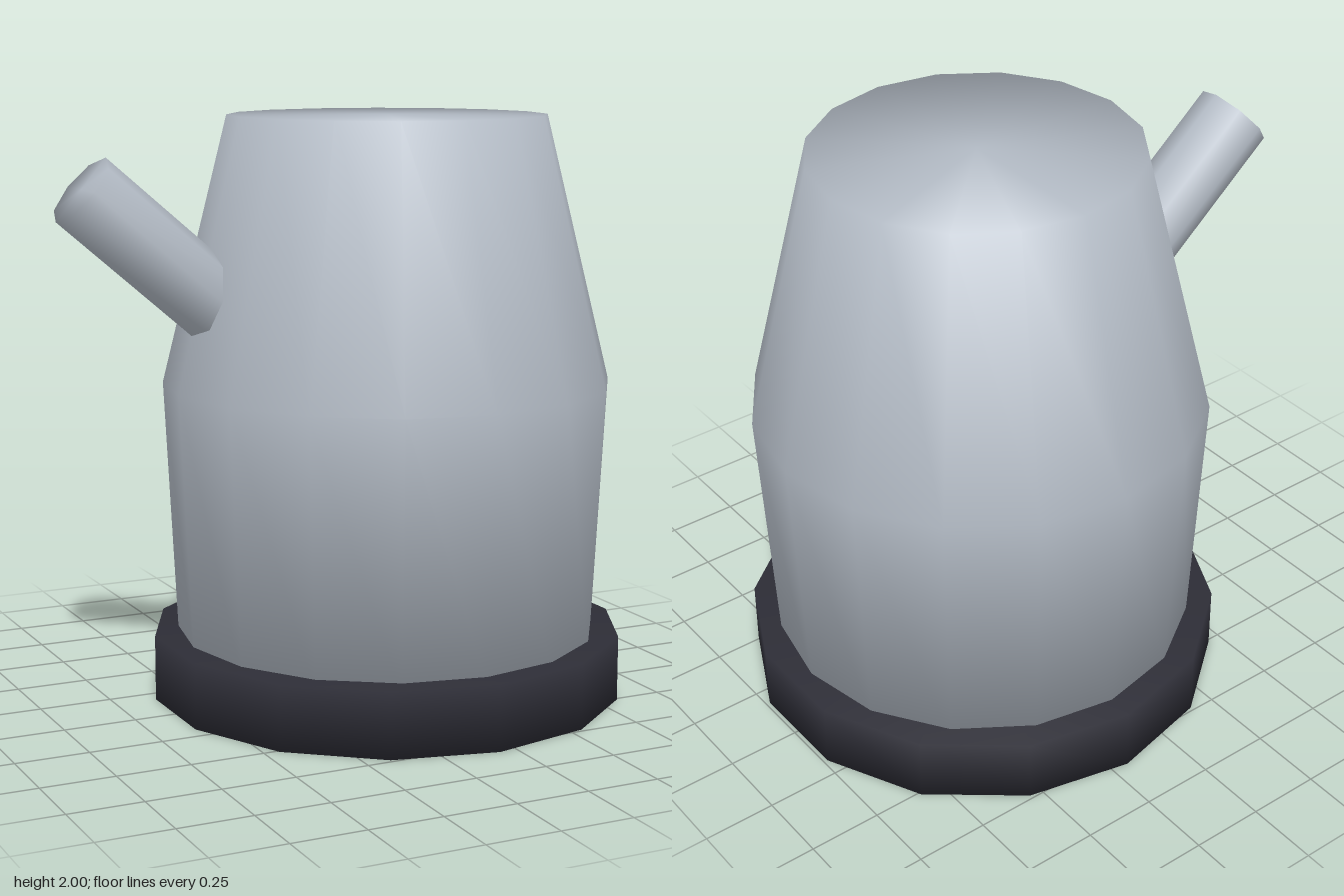
import * as THREE from 'three';

// Solid of revolution with closed ends and smooth normals; profile runs bottom to top
function turned(name, profile, sides, material) {
  const points = profile.map(([r, y]) => new THREE.Vector2(r, y));
  const mesh = new THREE.Mesh(new THREE.LatheGeometry(points, sides), material);
  mesh.name = name;
  return mesh;
}

export function createModel() {
  const metal = new THREE.MeshStandardMaterial({ color: 0xb2bac4 });
  metal.name = 'paleMetal';
  const dark = new THREE.MeshStandardMaterial({ color: 0x2d2d36 });
  dark.name = 'darkBase';

  const model = new THREE.Group();
  model.name = 'pot';
  const axisX = 0.19;

  // Wide disc the pot stands on
  const base = turned('base', [[0, 0], [0.817, 0], [0.817, 0.225], [0, 0.225]], 14, dark);
  base.position.x = axisX;

  // Body widening to the shoulder, then tapering to a closed top
  const body = turned('body', [[0, 0.18], [0.725, 0.18], [0.77, 1.09], [0.545, 2], [0, 2]], 16, metal);
  body.position.x = axisX;

  // Slanted spout on the right side, its lower end buried in the body
  const spout = turned('spout', [[0, -0.75], [0.132, -0.75], [0.132, 0], [0, 0]], 8, metal);
  spout.position.set(-0.905, 1.78, 0);
  spout.rotation.z = Math.atan2(0.76, 0.65);

  model.add(base, body, spout);
  return model;
}
